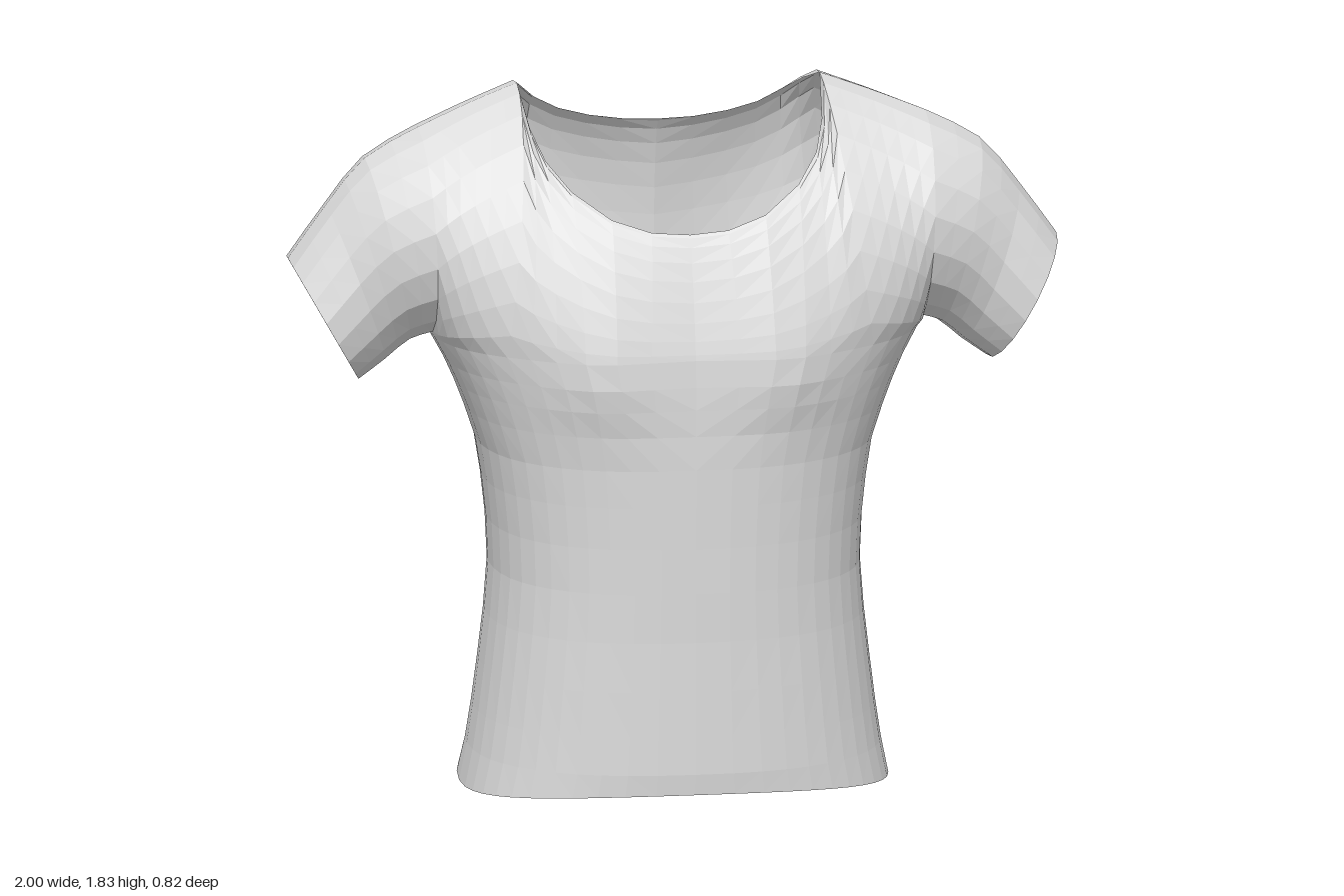
import * as THREE from 'three';

const V = (x, y, z) => new THREE.Vector3(x, y, z);
const { lerp } = THREE.MathUtils;
const COLS = 12; // columns from the centre line to the side seam
const RISE = 9;  // steps from the armpit to the neckline or shoulder

// Torso rings: height, half width, front z, back z
const RINGS = [
  [0, 0.555, 0.38, -0.425], [0.1, 0.535, 0.385, -0.385], [0.2, 0.52, 0.385, -0.345],
  [0.32, 0.505, 0.385, -0.31], [0.45, 0.49, 0.385, -0.29], [0.58, 0.48, 0.388, -0.297],
  [0.7, 0.485, 0.39, -0.314], [0.81, 0.497, 0.393, -0.335], [0.91, 0.513, 0.395, -0.353],
  [1.0, 0.543, 0.395, -0.37], [1.07, 0.57, 0.395, -0.381], [1.13, 0.597, 0.392, -0.39],
  [1.2, 0.635, 0.387, -0.398],
];
const SIDE_Z = -0.045;

// Neckline halves and shoulder line
const NECK_FRONT = [
  V(0, 1.51, 0.285), V(0.1, 1.517, 0.28), V(0.2, 1.548, 0.256), V(0.295, 1.61, 0.192),
  V(0.352, 1.675, 0.115), V(0.38, 1.74, 0.02), V(0.394, 1.828, -0.12),
];
const NECK_BACK = [
  V(0, 1.675, -0.295), V(0.09, 1.678, -0.296), V(0.18, 1.69, -0.3), V(0.26, 1.71, -0.305),
  V(0.325, 1.745, -0.295), V(0.365, 1.79, -0.22), V(0.394, 1.828, -0.12),
];
const SHOULDER = new THREE.CatmullRomCurve3([
  V(0.394, 1.828, -0.12), V(0.52, 1.785, -0.1), V(0.66, 1.735, -0.06),
]);

// Sleeve: top line, underarm line
const SLEEVE_TOP = new THREE.CatmullRomCurve3([
  V(0.66, 1.735, -0.06), V(0.8, 1.66, -0.05), V(0.9, 1.54, -0.05), V(1.0, 1.4, -0.05),
]);
const SLEEVE_UNDER = new THREE.CatmullRomCurve3([
  V(0.635, 1.2, SIDE_Z), V(0.69, 1.18, -0.05), V(0.75, 1.13, -0.05), V(0.82, 1.08, -0.05),
]);

// Bulge of the cloth around the arm, growing towards the armhole
const bulge = (s, front) => (front
  ? 0.26 * Math.max(0, (s - 0.3) / 0.7)
  : -(0.02 + 0.11 * s + 0.11 * s * s));

// Roundness of an arch: fairly straight under the neck, full at the shoulder, oval at the armhole
function roundness(s, front) {
  const peak = front ? 1.5 : 1.95;
  return s < 0.5 ? lerp(front ? 1.15 : 1.6, peak, s * 2) : lerp(peak, 1, s * 2 - 1);
}

// Point on a torso ring, s = 0 at the centre line and 1 at the side seam
function ringPoint([y, w, zf, zb], s, front) {
  const a = s * Math.PI / 2;
  const x = w * Math.pow(Math.sin(a), 0.83);
  const c = s === 1 ? 0 : Math.pow(Math.cos(a), 0.83);
  let z = SIDE_Z + c * ((front ? zf : zb) - SIDE_Z);
  if (front) z += 0.037 * Math.exp(-(((x - 0.25) / 0.14) ** 2) - ((y - 1.16) / 0.14) ** 2);
  else z += 0.025 * Math.min(1, 4 * (y - 0.45) ** 2) * Math.exp(-((x / 0.13) ** 2));
  const hem = y === 0 ? (front ? 0.045 * c * c : 0.03 * Math.sin(2 * a)) : 0;
  return V(x, y + hem, z);
}

// Arched line from the armpit level to the top edge
function archPoint(from, to, theta, p, out) {
  const fy = Math.pow(Math.sin(theta), 2 / p);
  const fz = Math.pow(Math.max(0, Math.cos(theta)), 2 / p);
  return V(lerp(from.x, to.x, fy), lerp(from.y, to.y, fy),
    lerp(to.z, from.z, fz) + out * Math.sin(2 * theta));
}

// Rows of one half panel, from the hem to the neckline and shoulder
function panelRows(front) {
  const rows = RINGS.map((r) => Array.from({ length: COLS + 1 }, (_, j) => ringPoint(r, j / COLS, front)));
  const base = rows[rows.length - 1];
  const neck = front ? NECK_FRONT : NECK_BACK;
  for (let i = 1; i <= RISE; i++) {
    const theta = (i / RISE) * Math.PI / 2;
    rows.push(base.map((from, j) => {
      const s = j / COLS;
      const to = s <= 0.5 ? neck[j] : SHOULDER.getPoint((s - 0.5) * 2);
      return archPoint(from, to, theta, roundness(s, front), bulge(s, front));
    }));
  }
  return rows;
}

// Loops of a sleeve, from the armhole to the cuff
function sleeveRows() {
  const rows = [], steps = 6;
  for (let i = 0; i <= steps; i++) {
    const t = i / steps;
    const under = SLEEVE_UNDER.getPoint(t), top = SLEEVE_TOP.getPoint(t);
    const shrink = Math.min(1, t * 1.6);
    const loop = [];
    for (let k = 0; k <= 2 * RISE; k++) {
      const front = k <= RISE;
      const theta = ((front ? k : 2 * RISE - k) / RISE) * Math.PI / 2;
      const out = lerp(bulge(1, front), front ? 0.19 : -0.19, shrink);
      loop.push(archPoint(under, top, theta, 1, out));
    }
    rows.push(loop);
  }
  return rows;
}

// Faceted surface through rows of points, side = -1 mirrors it
function sheet(rows, side, flip) {
  const pos = [];
  const tri = (a, b, c) => {
    for (const v of flip !== side < 0 ? [a, c, b] : [a, b, c]) pos.push(side * v.x, v.y, v.z);
  };
  for (let i = 0; i + 1 < rows.length; i++) {
    for (let j = 0; j + 1 < rows[i].length; j++) {
      const a = rows[i][j], b = rows[i][j + 1], c = rows[i + 1][j + 1], d = rows[i + 1][j];
      tri(a, b, c);
      tri(a, c, d);
    }
  }
  const geo = new THREE.BufferGeometry();
  geo.setAttribute('position', new THREE.Float32BufferAttribute(pos, 3));
  geo.computeVertexNormals();
  return geo;
}

export function createModel() {
  const cloth = new THREE.MeshStandardMaterial({ color: 0xdcdcdc, side: THREE.DoubleSide });
  cloth.name = 'light grey cloth';
  const shirt = new THREE.Group();
  shirt.name = 'shirt';
  const parts = [
    ['FrontPanel', panelRows(true), false],
    ['BackPanel', panelRows(false), true],
    ['Sleeve', sleeveRows(), true],
  ];
  for (const [sideName, side] of [['left', 1], ['right', -1]]) {
    for (const [name, rows, flip] of parts) {
      const mesh = new THREE.Mesh(sheet(rows, side, flip), cloth);
      mesh.name = sideName + name;
      shirt.add(mesh);
    }
  }
  return shirt;
}
